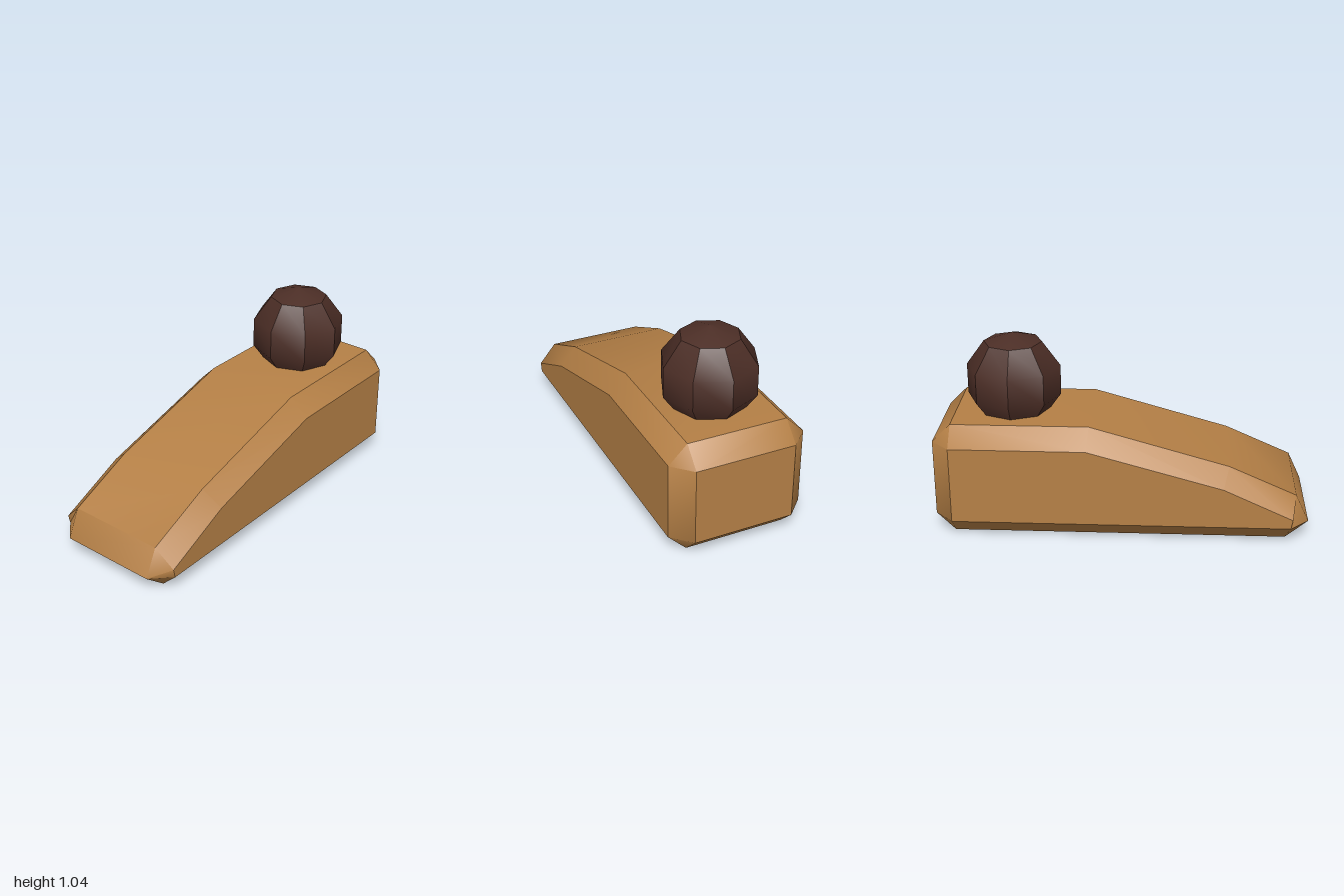
import * as THREE from 'three';
import { toCreasedNormals } from 'three/addons/utils/BufferGeometryUtils.js';

// Side outline as [z, y], from the bottom front over the top to the back.
// The broad middle and the inset side faces match point for point.
const MIDDLE = [[0.88, 0], [1, 0.1], [0.93, 0.25], [0.57, 0.41], [-0.17, 0.62],
  [-0.9, 0.62], [-1, 0.52], [-1, 0.1], [-0.9, 0]];
const SIDE = [[0.9, 0.1], [0.9, 0.1], [0.91, 0.15], [0.54, 0.32], [-0.18, 0.52],
  [-0.9, 0.52], [-0.9, 0.52], [-0.9, 0.1], [-0.9, 0.1]];

// Chamfered wedge lofted across x
function wedgeGeometry() {
  const sections = [[-0.37, SIDE], [-0.27, MIDDLE], [0.27, MIDDLE], [0.37, SIDE]];
  const rings = sections.map(([x, ring]) => ring.map(([z, y]) => new THREE.Vector3(x, y, z)));
  const positions = [];
  const tri = (a, b, c) => {
    const area = b.clone().sub(a).cross(c.clone().sub(a)).length();
    if (area > 1e-6) for (const p of [a, b, c]) positions.push(p.x, p.y, p.z);
  };
  const n = MIDDLE.length;
  for (let s = 0; s < 3; s++) {
    for (let i = 0; i < n; i++) {
      const j = (i + 1) % n;
      tri(rings[s][i], rings[s + 1][i], rings[s + 1][j]);
      tri(rings[s][i], rings[s + 1][j], rings[s][j]);
    }
  }
  // Flat side faces
  for (let i = 1; i < n - 1; i++) {
    tri(rings[0][0], rings[0][i], rings[0][i + 1]);
    tri(rings[3][0], rings[3][i + 1], rings[3][i]);
  }
  const geometry = new THREE.BufferGeometry();
  geometry.setAttribute('position', new THREE.Float32BufferAttribute(positions, 3));
  return toCreasedNormals(geometry, 0.74);
}

export function createModel() {
  const model = new THREE.Group();
  model.name = 'wedgeWithKnob';

  const lightWood = new THREE.MeshStandardMaterial({ color: 0xb58046 });
  lightWood.name = 'lightWood';
  const darkWood = new THREE.MeshStandardMaterial({ color: 0x4c2e26 });
  darkWood.name = 'darkWood';

  const wedge = new THREE.Mesh(wedgeGeometry(), lightWood);
  wedge.name = 'wedgeBody';

  // Faceted ball sunk into the top at the back
  const knob = new THREE.Mesh(toCreasedNormals(new THREE.SphereGeometry(0.265, 8, 5), 0.615), darkWood);
  knob.name = 'knob';
  knob.position.set(0, 0.78, -0.59);

  model.add(wedge, knob);
  return model;
}
